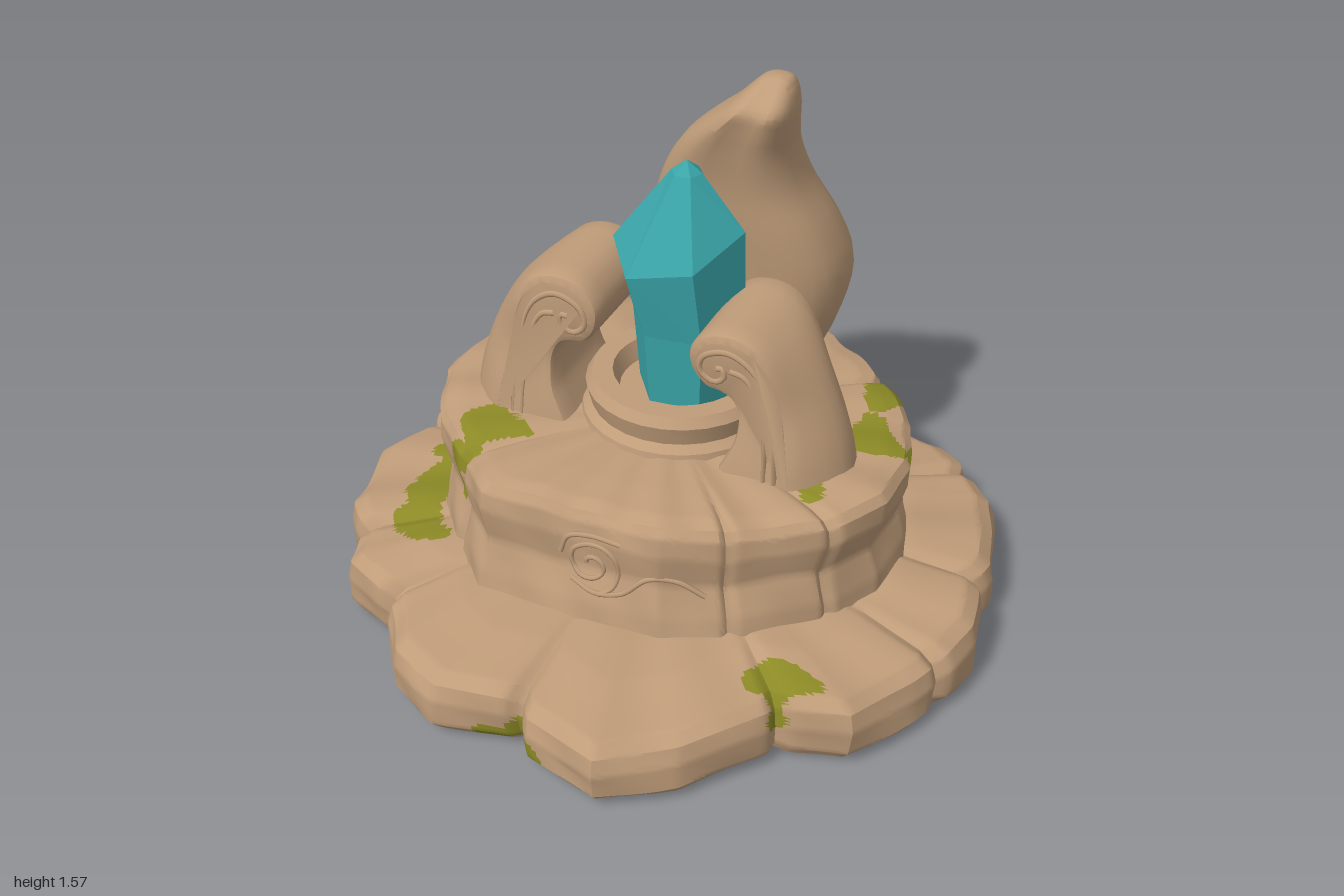
import * as THREE from 'three';
import { toCreasedNormals } from 'three/addons/utils/BufferGeometryUtils.js';
import { ParametricGeometry } from 'three/addons/geometries/ParametricGeometry.js';

const stone = new THREE.MeshStandardMaterial({ color: 0xbf9c79 });
stone.name = 'sandstone';
const moss = new THREE.MeshStandardMaterial({ color: 0x8c8a26 });
moss.name = 'moss';
const teal = new THREE.MeshStandardMaterial({ color: 0x3aa5a9 });
teal.name = 'crystal teal';

// Plan outlines as [x, z], with a 1 where a joint between two stones lies
const SLABS = [
  [-0.63, -0.62, 1], [-0.45, -0.88], [-0.1, -0.97], [0.01, -0.93, 1], [0.17, -1], [0.4, -0.9],
  [0.45, -0.8, 1], [0.65, -0.75], [0.77, -0.65, 1], [0.88, -0.55], [0.97, -0.22], [0.95, -0.13, 1],
  [1, 0.08], [0.96, 0.26, 1], [0.92, 0.36], [0.8, 0.56], [0.61, 0.61, 1], [0.42, 0.85], [0.23, 0.99],
  [0, 0.92], [-0.05, 0.87, 1], [-0.3, 0.91], [-0.47, 0.83], [-0.61, 0.64, 1], [-0.79, 0.56],
  [-0.83, 0.41, 1], [-0.93, 0.31], [-1, 0.03], [-0.94, -0.17, 1], [-0.92, -0.4], [-0.85, -0.57],
];
const TIER = [
  [-0.62, -0.45, 1], [-0.37, -0.64], [0, -0.74, 1], [0.3, -0.67], [0.52, -0.47, 1], [0.66, -0.3],
  [0.725, -0.1], [0.71, 0.1], [0.62, 0.26, 1], [0.38, 0.43, 1], [0.2, 0.5], [-0.33, 0.51],
  [-0.47, 0.39, 1], [-0.62, 0.25], [-0.74, 0], [-0.73, -0.27],
];
// Profiles as [fraction of the outline radius, height]
const SLAB_PROFILE = [[0, 0.01], [0.975, 0.012], [1, 0.04], [1.005, 0.12], [0.99, 0.17], [0.95, 0.197],
  [0.85, 0.212], [0.75, 0.23], [0.6, 0.24], [0.4, 0.245]];
const TIER_PROFILE = [[1, 0.2], [0.99, 0.3], [0.955, 0.4], [1, 0.5], [1, 0.56], [0.97, 0.585], [0.9, 0.597],
  [0.7, 0.603], [0.4, 0.605], [0, 0.605]];

// Moss blobs as [x, y, z, radius]
const MOSS = [
  [-0.74, 0.24, -0.2, 0.055], [-0.75, 0.24, -0.1, 0.045], [-0.765, 0.24, 0, 0.045], [-0.74, 0.24, 0.12, 0.065],
  [-0.71, 0.24, 0.23, 0.08], [-0.67, 0.25, 0.32, 0.09], [-0.61, 0.24, 0.4, 0.065],
  [-0.44, 0.6, 0.25, 0.1], [-0.51, 0.53, 0.34, 0.055], [-0.5, 0.46, 0.35, 0.04], [-0.5, 0.4, 0.35, 0.03],
  [0.56, 0.6, -0.38, 0.08], [0.6, 0.6, -0.15, 0.09], [0.52, 0.6, 0.17, 0.035],
  [0.6, 0.21, 0.53, 0.08], [0.6, 0.15, 0.6, 0.03], [0.52, 0.21, 0.57, 0.04],
  [-0.12, 0.04, 0.89, 0.055], [-0.06, 0.07, 0.87, 0.06], [0, 0.05, 0.9, 0.045],
  [0.71, 0.52, -0.17, 0.06], [0.69, 0.49, -0.36, 0.035], [0.55, 0.25, -0.45, 0.05],
];

// Returns point(theta, s): a spot on a ring of stones, s counting along the profile
function ringSurface(outline, profile, flare) {
  const polar = outline.map(([x, z, joint]) => ({ a: Math.atan2(z, x), r: Math.hypot(x, z), joint }))
    .sort((p, q) => p.a - q.a);
  const first = polar[0], last = polar[polar.length - 1];
  const loop = [{ ...last, a: last.a - 2 * Math.PI }, ...polar, { ...first, a: first.a + 2 * Math.PI }];
  return (theta, s) => {
    const a = Math.atan2(Math.sin(theta), Math.cos(theta));
    let i = 0;
    while (i < loop.length - 2 && loop[i + 1].a <= a) i++;
    const p = loop[i], q = loop[i + 1];
    let r = Math.sin(q.a - p.a) / (Math.sin(q.a - a) / p.r + Math.sin(a - p.a) / q.r);
    let groove = 0;
    for (const c of loop) if (c.joint) groove = Math.max(groove, Math.exp(-(((a - c.a) / 0.025) ** 2)));
    const j = Math.min(Math.floor(s), profile.length - 2), f = s - j;
    const k = profile[j][0] + (profile[j + 1][0] - profile[j][0]) * f;
    let y = profile[j][1] + (profile[j + 1][1] - profile[j][1]) * f;
    const lump = 0.006 * Math.sin(7 * a + 11 * y) + 0.005 * Math.sin(18 * a - 23 * y);
    const spread = flare * Math.max(0, Math.sin(a)) ** 2 * Math.max(0, 0.58 - y) / 0.38;
    r *= k * (1 - 0.03 * groove + spread + lump);
    if (y > 0.1) y += k * lump - 0.022 * groove * k ** 4;
    const x = r * Math.cos(a), z = r * Math.sin(a);
    if (!flare) y = y * (1 + 0.16 * x * x) + 0.012 * z;
    return new THREE.Vector3(x, Math.max(y, 0), z);
  };
}

function add(parent, name, geometry, material) {
  const mesh = new THREE.Mesh(geometry, material);
  mesh.name = name;
  parent.add(mesh);
  return mesh;
}

// Splits a ring into bare stone and mossy patches
function addRing(parent, name, point, stops) {
  const raw = new ParametricGeometry((u, v, t) => t.copy(point(-2 * Math.PI * u, v * stops)), 360, stops * 6);
  const geo = toCreasedNormals(raw, 0.6);
  const pos = geo.attributes.position, nor = geo.attributes.normal;
  const parts = [{ p: [], n: [] }, { p: [], n: [] }];
  const c = new THREE.Vector3();
  for (let i = 0; i < pos.count; i += 3) {
    c.set(0, 0, 0);
    for (let k = 0; k < 3; k++) c.add(new THREE.Vector3().fromBufferAttribute(pos, i + k));
    c.divideScalar(3);
    const ragged = 1 + 0.2 * Math.sin(31 * c.x + 17 * c.y) + 0.2 * Math.sin(37 * c.z - 23 * c.y);
    const mossy = MOSS.some(([x, y, z, r]) => Math.hypot(c.x - x, c.y - y, c.z - z) < r * ragged);
    const part = parts[mossy ? 1 : 0];
    for (let k = i; k < i + 3; k++) {
      part.p.push(pos.getX(k), pos.getY(k), pos.getZ(k));
      part.n.push(nor.getX(k), nor.getY(k), nor.getZ(k));
    }
  }
  parts.forEach(({ p, n }, i) => {
    const g = new THREE.BufferGeometry();
    g.setAttribute('position', new THREE.Float32BufferAttribute(p, 3));
    g.setAttribute('normal', new THREE.Float32BufferAttribute(n, 3));
    add(parent, name + (i ? 'Moss' : 'Stone'), g, i ? moss : stone);
  });
}

const line = (points, radius) => new THREE.TubeGeometry(new THREE.CatmullRomCurve3(points), 48, radius, 6);

// Spiral with two wave tails, laid on the wall of the tier
function addSwirl(parent, name, point, middle, size) {
  const spiral = [];
  for (let i = 0; i <= 20; i++) {
    const a = 0.17 * Math.PI * i, r = 0.015 + 0.0042 * i;
    spiral.push([-r * Math.cos(a), r * Math.sin(a)]);
  }
  const strokes = [spiral,
    [[-0.06, -0.06], [0.02, -0.09], [0.1, -0.07], [0.18, -0.01], [0.26, 0], [0.34, -0.05]],
    [[-0.1, 0.02], [-0.07, 0.09], [0, 0.12], [0.1, 0.1]]];
  for (const stroke of strokes) {
    const pts = stroke.map(([u, v]) => point(middle - u * size / 0.55, (0.42 + v * size - 0.2) / 0.1));
    add(parent, name, line(pts, 0.008), stone);
  }
}

// Rounds the outer back of an arm, and narrows it between foot and scroll
function roundArm(geometry) {
  const p = geometry.attributes.position;
  for (let i = 0; i < p.count; i++) {
    const x = p.getX(i), y = p.getY(i), z = p.getZ(i);
    const out = THREE.MathUtils.smoothstep(Math.abs(x), 0.28, 0.6);
    p.setX(i, x * (1 - 0.2 * out * (z / 0.18) ** 2));
    p.setZ(i, z * (1 - 0.13 * Math.exp(-(((y - 0.82) / 0.12) ** 2))) + 0.03 * (0.9 - y));
  }
  return geometry;
}

// Scrolled arm; side is +1 or -1 along x
function scrollArm(side, wide, tall) {
  const arm = new THREE.Group();
  arm.name = side > 0 ? 'leftScrollArm' : 'rightScrollArm';
  const place = ([x, y]) => new THREE.Vector2(side * x * wide, 0.56 + (y - 0.56) * tall);
  const outer = [[0.6, 0.56], [0.575, 0.68], [0.53, 0.8], [0.46, 0.92], [0.38, 1], [0.29, 1.04], [0.2, 1.03],
    [0.145, 0.97], [0.15, 0.9], [0.19, 0.85], [0.235, 0.84], [0.27, 0.82], [0.29, 0.77], [0.285, 0.7],
    [0.26, 0.64], [0.22, 0.56]];
  const shape = new THREE.Shape(new THREE.SplineCurve(outer.map(place)).getPoints(60));
  const body = new THREE.ExtrudeGeometry(shape, { depth: 0.31, steps: 6, bevelSize: 0.025, bevelThickness: 0.025,
    bevelOffset: -0.025, bevelSegments: 2 });
  body.translate(0, 0, -0.155);
  add(arm, 'scrollBody', toCreasedNormals(roundArm(body), 0.6), stone);
  const flutes = [
    [[0.49, 0.58], [0.46, 0.74], [0.4, 0.88], [0.33, 0.96], [0.26, 0.99], [0.19, 0.96], [0.18, 0.91],
      [0.22, 0.88], [0.25, 0.9], [0.25, 0.93], [0.23, 0.93]],
    [[0.42, 0.58], [0.405, 0.72], [0.36, 0.86], [0.31, 0.92], [0.27, 0.93]]];
  for (const flute of flutes) for (const z of [-0.179, 0.179]) {
    const pts = flute.map(place).map((p) => new THREE.Vector3(p.x, p.y, z));
    add(arm, 'scrollFlute', roundArm(line(pts, 0.01)), stone);
  }
  return arm;
}

// Leaning horn lofted from [y, xMin, xMax, zFront, zBack]
function hornGeometry() {
  const rows = [[0.52, -0.18, 0.24, -0.42, -0.68], [0.7, -0.22, 0.32, -0.36, -0.75], [0.9, -0.25, 0.36, -0.325, -0.76],
    [1.05, -0.24, 0.32, -0.305, -0.71], [1.2, -0.19, 0.25, -0.29, -0.635], [1.33, -0.11, 0.225, -0.26, -0.56],
    [1.43, -0.01, 0.235, -0.232, -0.5], [1.49, 0.06, 0.24, -0.225, -0.47], [1.54, 0.11, 0.23, -0.28, -0.435],
    [1.565, 0.14, 0.215, -0.32, -0.4], [1.573, 0.18, 0.18, -0.355, -0.355]];
  const xs = new THREE.CatmullRomCurve3(rows.map((r) => new THREE.Vector3(r[1], r[0], r[2])));
  const zs = new THREE.CatmullRomCurve3(rows.map((r) => new THREE.Vector3(r[3], r[0], r[4])));
  const round = (c, power) => Math.sign(c) * Math.abs(c) ** power;
  return toCreasedNormals(new ParametricGeometry((u, v, t) => {
    const a = -2 * Math.PI * u, X = xs.getPoint(v), Z = zs.getPoint(v);
    const hz = (Z.x - Z.z) / 2, sin = Math.sin(a);
    const hollow = 0.14 * hz * Math.max(0, sin) ** 20;
    t.set((X.x + X.z) / 2 + (X.z - X.x) / 2 * round(Math.cos(a), 0.85), X.y,
      (Z.x + Z.z) / 2 + hz * round(sin, sin > 0 ? 0.65 : 0.9) - hollow);
  }, 28, 36), 0.6);
}

export function createModel() {
  const model = new THREE.Group();
  model.name = 'crystalShrine';

  // Stone rings
  addRing(model, 'baseSlabs', ringSurface(SLABS, SLAB_PROFILE, 0), SLAB_PROFILE.length - 1);
  const wall = ringSurface(TIER, TIER_PROFILE, 0.11);
  addRing(model, 'upperTier', wall, TIER_PROFILE.length - 1);
  addSwirl(model, 'frontSwirl', wall, Math.PI / 2, 1);
  addSwirl(model, 'backSwirl', wall, -Math.PI / 2 - 0.08, 0.85);

  // Collar holding the crystal
  const collar = [[0.3, 0.57], [0.29, 0.62], [0.265, 0.64], [0.28, 0.7], [0.26, 0.73], [0.2, 0.73], [0.18, 0.67], [0, 0.67]];
  const collarGeo = new THREE.LatheGeometry(collar.map((p) => new THREE.Vector2(...p)), 28);
  add(model, 'collar', toCreasedNormals(collarGeo, 0.6), stone).position.set(0.015, 0, -0.07);

  // Six-sided crystal with an uneven shoulder and an offset foot
  const facets = [[0, 0.66], [0.15, 0.66], [0.17, 0.9], [0.195, 1.15], [0.045, 1.375], [0, 1.41]];
  const gem = new THREE.LatheGeometry(facets.map((p) => new THREE.Vector2(...p)), 6, 0.62).toNonIndexed();
  const gp = gem.attributes.position;
  for (let i = 0; i < gp.count; i++) {
    const x = gp.getX(i), y = gp.getY(i), z = gp.getZ(i);
    if (y > 1.1 && y < 1.2) gp.setY(i, y + 0.03 + 0.2 * x - 0.35 * Math.abs(z));
    gp.setX(i, x + (y > 1.3 || y < 0.95 ? 0.025 : 0));
    if (y < 0.95) gp.setZ(i, z - 0.02);
  }
  gem.computeVertexNormals();
  add(model, 'crystal', gem, teal).position.set(0.005, 0, -0.07);

  // Scroll arms and back horn
  const left = scrollArm(1, 0.99, 1);
  const right = scrollArm(-1, 1.03, 1.1);
  left.position.z = 0.005;
  right.position.z = -0.02;
  model.add(left, right);
  add(model, 'backHorn', hornGeometry(), stone);
  return model;
}
